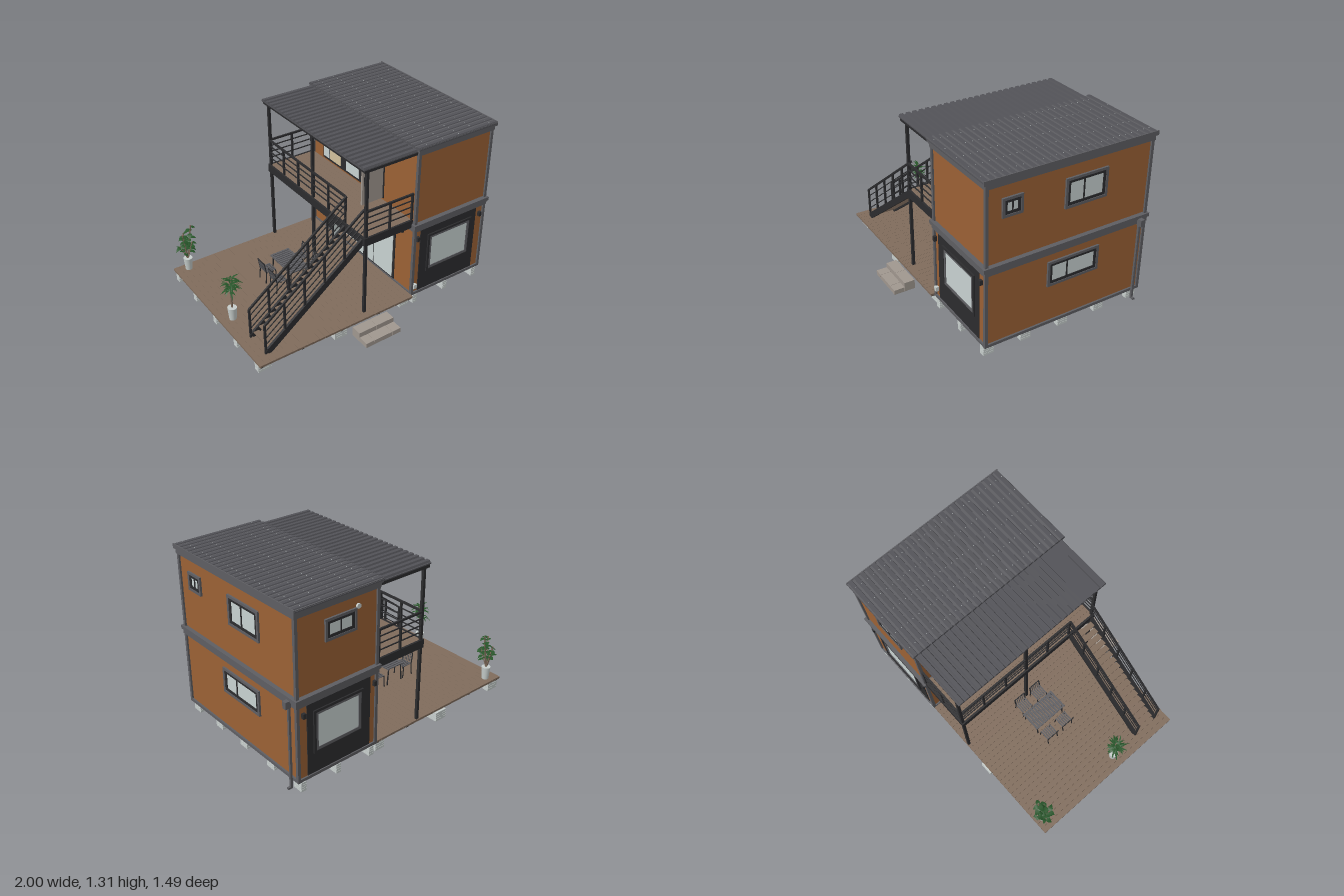
import * as THREE from 'three';

const M = (name, color, side = THREE.FrontSide) => {
  const m = new THREE.MeshStandardMaterial({ color, side });
  m.name = name;
  return m;
};

export function createModel() {
  const orange = M('orange cladding', 0x9b6135), trim = M('grey trim', 0x5e5e62), roof = M('roof grey', 0x525257),
    black = M('black steel', 0x2c2c2e), wood = M('deck wood', 0x806c5c), stone = M('stone', 0xa0978f),
    concrete = M('light concrete', 0xc6cdcb), glass = M('glass', 0xc8d2d1),
    leaf = M('leaf green', 0x28562a, THREE.DoubleSide), cream = M('cream interior', 0xd2c19c);
  const model = new THREE.Group();
  model.name = 'containerHouse';

  const group = (name, parent = model) => {
    const g = new THREE.Group();
    g.name = name;
    parent.add(g);
    return g;
  };
  const add = (name, geo, mat, parent) => {
    const m = new THREE.Mesh(geo, mat);
    m.name = name;
    parent.add(m);
    return m;
  };
  const box = (name, mat, x0, x1, y0, y1, z0, z1, parent = model) => {
    const m = add(name, new THREE.BoxGeometry(x1 - x0, y1 - y0, z1 - z0), mat, parent);
    m.position.set((x0 + x1) / 2, (y0 + y1) / 2, (z0 + z1) / 2);
    return m;
  };
  // straight bar of width w and height h between two points of its parent
  const up = new THREE.Vector3(0, 1, 0);
  const beam = (name, mat, a, b, w, h, parent = model) => {
    const p = new THREE.Vector3(...a), q = new THREE.Vector3(...b);
    const m = add(name, new THREE.BoxGeometry(w, h, p.distanceTo(q)), mat, parent);
    m.quaternion.setFromRotationMatrix(new THREE.Matrix4().lookAt(q, p, up));
    m.position.copy(p).add(q).multiplyScalar(0.5);
  };
  const frame = (name, mat, w, h, t, d, parent) => {
    const s = new THREE.Shape([[-w, -h], [w, -h], [w, h], [-w, h]].map(p => new THREE.Vector2(p[0] / 2, p[1] / 2)));
    const a = w / 2 - t, b = h / 2 - t;
    s.holes.push(new THREE.Path([[-a, -b], [-a, b], [a, b], [a, -b]].map(p => new THREE.Vector2(...p))));
    add(name, new THREE.ExtrudeGeometry(s, { depth: d, bevelEnabled: false }), mat, parent);
  };
  // framed window facing local +z; each mullion is a local x offset
  const windowUnit = (name, x, y, z, turn, w, h, mullions, outer = trim, inner = black) => {
    const g = group(name);
    g.position.set(x, y, z);
    g.rotation.y = turn;
    frame('outerFrame', outer, w, h, 0.018, 0.014, g);
    frame('innerFrame', inner, w - 0.034, h - 0.034, 0.02, 0.01, g);
    box('glassPane', glass, -w / 2 + 0.03, w / 2 - 0.03, -h / 2 + 0.03, h / 2 - 0.03, 0, 0.005, g);
    for (const m of mullions) box('mullion', inner, m - 0.005, m + 0.005, -h / 2 + 0.03, h / 2 - 0.03, 0, 0.01, g);
  };
  const lamp = (x, y, z) => box('wallLamp', black, x - 0.011, x + 0.011, y - 0.018, y + 0.018, z - 0.011, z + 0.011);

  // two stacked container storeys with corner posts and eave bands
  for (const [n, y0, y1] of [['ground', 0.08, 0.7], ['upper', 0.7, 1.306]]) {
    const g = group(n + 'Storey');
    box('walls', orange, 0.297, 0.943, y0 + 0.006, y1 - 0.03, -0.712, 0.542, g);
    for (const x of [0.286, 0.934]) for (const z of [-0.724, 0.532])
      box('cornerPost', trim, x, x + 0.022, y0, y1 - 0.03, z, z + 0.022, g);
    box('lowerBand', trim, 0.282, 0.96, y1 - 0.062, y1 - 0.03, -0.728, 0.558, g);
    box('upperBand', trim, 0.273, 0.968, y1 - 0.028, y1, -0.738, 0.57, g);
    box('bandGap', black, 0.284, 0.958, y1 - 0.031, y1 - 0.027, -0.726, 0.556, g);
  }
  box('bottomRail', trim, 0.286, 0.956, 0.08, 0.102, -0.724, 0.554);
  box('containerFloor', cream, 0.3, 0.942, 0.07, 0.08, -0.71, 0.54);

  // corrugated sheets with ribs along x and rows of fixing screws
  const sheet = (name, x0, x1, y, z0, z1, n, h, screws) => {
    const p = (z1 - z0) / n, pts = [[z0, y - 0.008]];
    for (let i = 0; i < n; i++) {
      const z = z0 + i * p;
      pts.push([z, y], [z + p * 0.2, y], [z + p * 0.32, y + h], [z + p * 0.85, y + h], [z + p * 0.97, y]);
      for (const x of screws) box('screw', concrete, x, x + 0.004, y + h, y + h + 0.0015, z + p * 0.56, z + p * 0.56 + 0.004);
    }
    pts.push([z1, y], [z1, y - 0.008]);
    const s = new THREE.Shape(pts.map(q => new THREE.Vector2(...q)));
    const m = add(name, new THREE.ExtrudeGeometry(s, { depth: x1 - x0, bevelEnabled: false }), roof, model);
    m.rotation.y = -Math.PI / 2;
    m.position.x = x1;
  };
  sheet('mainRoof', 0.27, 0.965, 1.3, -0.742, 0.572, 27, 0.012, [0.34, 0.48, 0.62, 0.76, 0.9]);
  sheet('awningRoof', -0.16, 0.28, 1.281, -0.722, 0.55, 26, 0.013, []);
  box('roofEndTrim', trim, 0.963, 0.97, 1.279, 1.312, -0.742, 0.572);
  box('awningCeiling', cream, -0.13, 0.285, 1.262, 1.274, -0.7, 0.53);
  box('awningBeam', black, -0.15, -0.12, 1.25, 1.275, -0.72, 0.545);
  for (const z of [-0.72, 0.525]) box('awningBeam', black, -0.15, 0.285, 1.25, 1.275, z, z + 0.02);

  // windows and dark feature panels
  const P = Math.PI;
  for (const [z, turn, n] of [[0.544, 0, 'front'], [-0.714, P, 'back']]) {
    box(n + 'DarkPanel', black, 0.35, 0.872, 0.104, 0.64, z - 0.004, z + 0.004);
    windowUnit(n + 'BigWindow', 0.62, 0.412, z, turn, 0.41, 0.32, [], black, trim);
    for (const x of [0.32, 0.903]) lamp(x, 0.572, z + (turn ? -0.012 : 0.012));
  }
  windowUnit('backUpperWindow', 0.6, 1.09, -0.712, P, 0.25, 0.15, [0]);
  const vent = add('vent', new THREE.CylinderGeometry(0.017, 0.017, 0.02, 16), concrete, model);
  vent.rotation.x = P / 2;
  vent.position.set(0.46, 1.17, -0.715);
  windowUnit('sideLowerWindow', 0.943, 0.48, -0.125, P / 2, 0.41, 0.19, [-0.05]);
  windowUnit('sideUpperWindow', 0.943, 1.045, -0.195, P / 2, 0.33, 0.215, [-0.02]);
  windowUnit('sideSmallWindow', 0.943, 1.085, 0.36, P / 2, 0.15, 0.135, [0]);

  // deck-side openings: thin panes on dark surrounds
  const pane = (name, mat, y0, y1, z0, z1) => box(name, mat, 0.287, 0.292, y0, y1, z0, z1);
  box('groundSurround', black, 0.291, 0.298, 0.1, 0.64, -0.53, 0.34);
  pane('doorwayGlass', glass, 0.115, 0.52, -0.29, -0.16);
  pane('slidingGlass', glass, 0.115, 0.52, -0.13, 0.09);
  pane('slidingGlass', glass, 0.115, 0.52, 0.1, 0.32);
  const glassDoor = group('openGlassDoor');
  glassDoor.position.set(0.237, 0.32, -0.315);
  frame('doorFrame', black, 0.1, 0.42, 0.011, 0.014, glassDoor);
  box('doorGlass', glass, -0.04, 0.04, -0.2, 0.2, 0.004, 0.01, glassDoor);
  box('upperSurround', black, 0.291, 0.298, 0.73, 1.14, -0.58, 0.185);
  pane('upperGlass', glass, 0.75, 1.125, -0.565, -0.495);
  pane('curtain', cream, 0.75, 1.125, -0.485, -0.345);
  pane('upperGlass', glass, 0.75, 1.125, -0.27, -0.11);
  pane('upperDoorway', cream, 0.735, 1.125, -0.01, 0.165);
  box('openDoor', stone, 0.105, 0.287, 0.735, 1.13, 0.165, 0.18);
  for (const z of [0.157, 0.18]) {
    box('doorLock', black, 0.118, 0.132, 0.89, 0.96, z, z + 0.008);
    box('doorHandle', black, 0.118, 0.15, 0.915, 0.925, z, z + 0.009);
  }
  for (const [y, z] of [[1.15, -0.65], [1.15, 0.3], [0.59, -0.62], [0.59, 0.42]]) lamp(0.285, y, z);
  box('socketBox', concrete, 0.303, 0.33, 0.14, 0.175, 0.542, 0.565);

  // downpipe with hopper and outlet
  const pipe = group('downpipe');
  box('hopper', trim, 0.958, 1.0, 0.63, 0.68, -0.675, -0.643, pipe);
  box('pipe', trim, 0.957, 0.973, 0.02, 0.64, -0.667, -0.651, pipe);
  box('outlet', trim, 0.957, 0.992, 0.018, 0.032, -0.667, -0.651, pipe);

  // ground deck: planks over a black subframe
  const deck = group('deck');
  for (let i = 0; i < 30; i++) box('plank', wood, -1 + i * 0.0428, -0.9583 + i * 0.0428, 0.08, 0.096, -0.72, 0.58, deck);
  box('deckBase', black, -0.995, 0.282, 0.075, 0.081, -0.715, 0.575, deck);
  for (const x of [-0.98, -0.66, -0.34, -0.02, 0.26]) box('joist', black, x - 0.01, x + 0.01, 0.066, 0.079, -0.71, 0.57, deck);
  for (const z of [-0.68, -0.39, -0.08, 0.22, 0.51]) {
    box('crossJoist', black, -0.99, 0.28, 0.066, 0.079, z - 0.01, z + 0.01, deck);
    // stacked block piers
    for (const [x, w, d] of [[-0.94, 0.1, 0.05], [-0.34, 0.1, 0.1], [0.24, 0.08, 0.05], [0.33, 0.04, 0.08], [0.62, 0.04, 0.08], [0.91, 0.04, 0.08]])
      for (let k = 0; k < 4; k++)
        box('pier', concrete, x - w / 2, x + w / 2, k * 0.0182, k * 0.0182 + 0.0165, z - d / 2, z + d / 2);
  }

  // stone steps
  for (const [h, z, cuts] of [[0.072, 0.585, [-0.26, -0.11, 0.04]], [0.036, 0.668, [-0.26, -0.19, -0.035, 0.04]]])
    for (let i = 0; i + 1 < cuts.length; i++) box('step', stone, cuts[i] + 0.001, cuts[i + 1] - 0.001, 0, h, z, z + 0.081);

  // balcony
  const balcony = group('balcony');
  for (let i = 0; i < 10; i++) box('balconyPlank', wood, -0.118 + i * 0.04, -0.079 + i * 0.04, 0.72, 0.73, -0.705, 0.515, balcony);
  box('balconyUnderside', cream, -0.118, 0.284, 0.69, 0.719, -0.705, 0.515, balcony);
  box('edgeBeam', black, -0.13, -0.115, 0.67, 0.732, -0.72, 0.53, balcony);
  for (const z of [-0.72, 0.515]) box('edgeBeam', black, -0.13, 0.284, 0.67, 0.732, z, z + 0.015, balcony);
  for (const z of [-0.705, -0.12, 0.515]) box('roofPost', black, -0.121, -0.101, 0.096, 1.26, z - 0.01, z + 0.01, balcony);
  for (const [y, t] of [[0.94, 0.014], [0.89, 0.007], [0.84, 0.007], [0.79, 0.007]]) {
    beam('rail', black, [-0.115, y, -0.71], [-0.115, y, 0.285], t, t, balcony);
    for (const z of [-0.71, 0.522]) beam('rail', black, [-0.115, y, z], [0.284, y, z], t, t, balcony);
  }
  for (const z of [-0.51, -0.31, 0.08, 0.285]) box('railPost', black, -0.122, -0.108, 0.73, 0.945, z - 0.007, z + 0.007, balcony);
  for (const z of [-0.71, 0.522]) for (const x of [0.085, 0.276]) box('railPost', black, x - 0.007, x + 0.007, 0.73, 0.945, z - 0.007, z + 0.007, balcony);

  // staircase
  const stairs = group('stairs');
  const slopeY = x => 0.1 + (x + 0.9) * 0.765;
  for (const z of [0.293, 0.495]) {
    beam('stringer', black, [-0.895, slopeY(-0.895), z], [-0.118, slopeY(-0.118), z], 0.018, 0.048, stairs);
    for (const [o, t] of [[0.24, 0.014], [0.185, 0.006], [0.13, 0.006], [0.075, 0.006]])
      beam('stairRail', black, [-0.905, slopeY(-0.905) + o, z], [-0.112, slopeY(-0.112) + o, z], t, t, stairs);
    for (const x of [-0.905, -0.75, -0.59, -0.43, -0.27])
      box('stairPost', black, x - 0.007, x + 0.007, Math.max(0.096, slopeY(x) - 0.01), slopeY(x) + 0.24, z - 0.007, z + 0.007, stairs);
  }
  for (let i = 0; i < 17; i++) {
    const x = -0.865 + i * 0.044;
    box('tread', wood, x - 0.021, x + 0.021, slopeY(x) + 0.002, slopeY(x) + 0.011, 0.3, 0.49, stairs);
  }

  // slatted table and four chairs
  const table = group('table');
  for (let i = 0; i < 13; i++) box('slat', trim, -0.405, -0.245, 0.24, 0.247, -0.27 + i * 0.0222, -0.254 + i * 0.0222, table);
  for (const x of [-0.4, -0.255]) {
    box('tableEdge', trim, x - 0.004, x + 0.006, 0.235, 0.246, -0.272, 0.014, table);
    for (const z of [-0.255, -0.005]) beam('tableLeg', black, [x, 0.096, z], [x + (x < -0.3 ? 0.012 : -0.012), 0.24, z], 0.007, 0.007, table);
  }
  for (const [cx, turn] of [[-0.47, 0], [-0.182, P]]) for (const z of [-0.205, -0.055]) {
    const c = group('chair');
    c.position.set(cx, 0.096, z);
    c.rotation.y = turn;
    for (let i = 0; i < 6; i++) {
      box('seatSlat', trim, -0.04, 0.045, 0.092, 0.097, -0.046 + i * 0.0165, -0.036 + i * 0.0165, c);
      beam('backSlat', trim, [-0.04, 0.1, -0.04 + i * 0.016], [-0.052, 0.175, -0.04 + i * 0.016], 0.006, 0.004, c);
    }
    for (const w of [-0.046, 0.046]) {
      beam('backLeg', black, [-0.046, 0, w], [-0.036, 0.095, w], 0.006, 0.006, c);
      beam('frontLeg', black, [0.048, 0, w], [0.04, 0.095, w], 0.006, 0.006, c);
      beam('backPost', black, [-0.038, 0.09, w], [-0.052, 0.178, w], 0.006, 0.006, c);
    }
    beam('backTop', black, [-0.052, 0.177, -0.048], [-0.052, 0.177, 0.048], 0.006, 0.006, c);
  }

  // potted plants
  let seed = 7;
  const rnd = () => (seed = (seed * 16807) % 2147483647) / 2147483647;
  const blade = (len, wid, droop) => {
    const g = new THREE.PlaneGeometry(wid, len, 2, 4), p = g.attributes.position;
    for (let i = 0; i < p.count; i++) {
      const t = p.getY(i) / len + 0.5;
      p.setXYZ(i, p.getX(i) * Math.sin(P * (0.12 + 0.88 * t)), t * len * (1 - droop * t * 0.4), t * t * droop * len);
    }
    g.computeVertexNormals();
    return g;
  };
  const plant = (name, x, z, stems, count, len, wid, low, height, spread) => {
    const g = group(name);
    g.position.set(x, 0.096, z);
    add('pot', new THREE.CylinderGeometry(0.034, 0.026, 0.1, 16), concrete, g).position.y = 0.05;
    for (let s = 0; s < stems; s++) {
      const a = s * 2.4, tip = [Math.cos(a) * spread, height - s * 0.04, Math.sin(a) * spread];
      beam('stem', wood, [0, 0.09, 0], tip, 0.008, 0.008, g);
      for (let i = 0; i < count; i++) {
        const t = low + (1 - low) * i / count;
        const m = add('leaf', blade(len * (0.75 + rnd() * 0.4), wid, 0.8), leaf, g);
        m.position.set(tip[0] * t, 0.09 + (tip[1] - 0.09) * t, tip[2] * t);
        m.rotation.set(0.2 + rnd() * 1.1, i * 2.4 + rnd(), 0, 'YXZ');
      }
    }
  };
  plant('palmPlant', -0.91, 0.05, 3, 14, 0.075, 0.016, 0.75, 0.35, 0.012);
  plant('leafyPlant', -0.9, -0.66, 5, 9, 0.045, 0.034, 0.45, 0.375, 0.05);

  return model;
}
